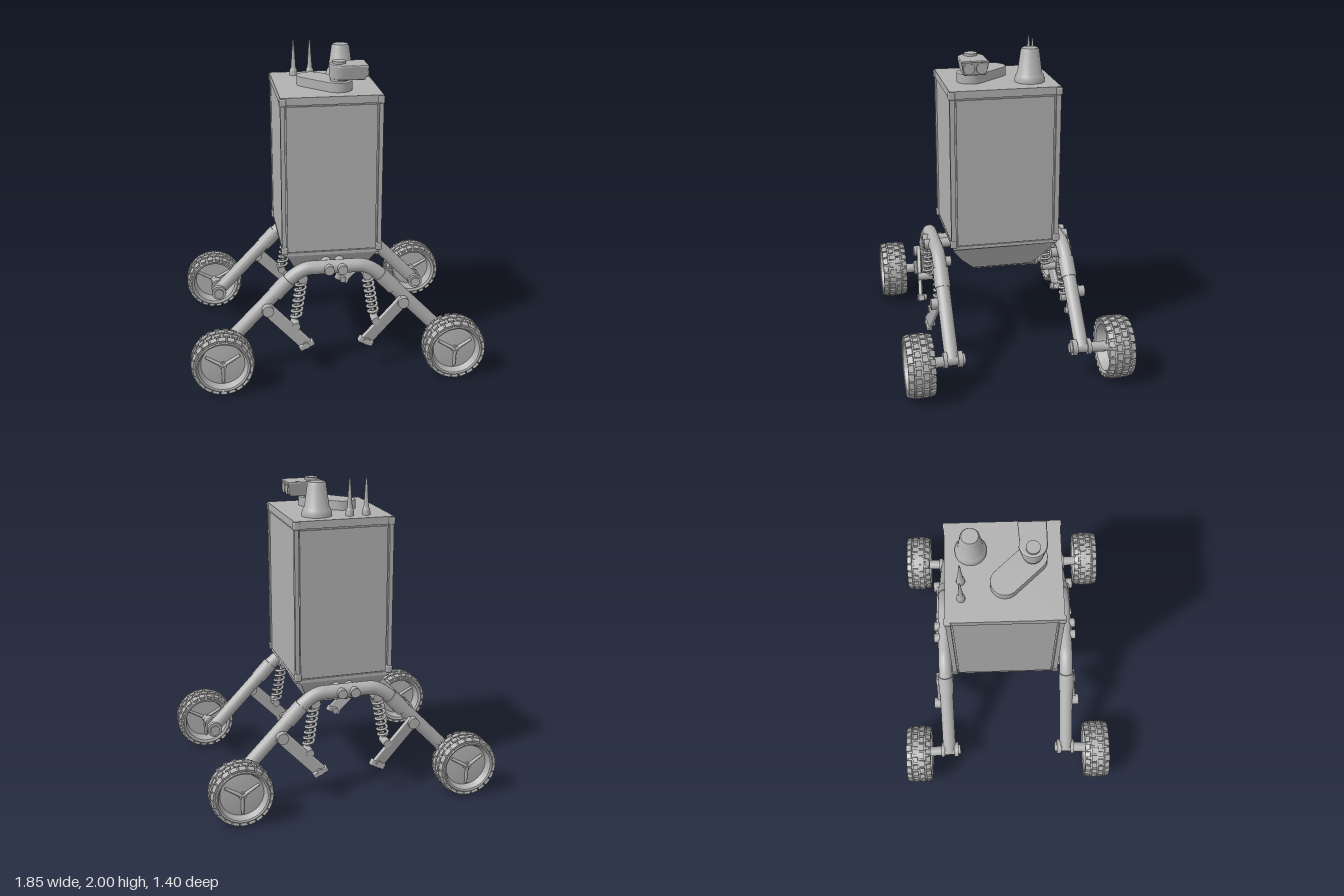
import * as THREE from 'three';
import { RoundedBoxGeometry } from 'three/addons/geometries/RoundedBoxGeometry.js';
import { mergeGeometries, toCreasedNormals } from 'three/addons/utils/BufferGeometryUtils.js';

const gray = new THREE.MeshStandardMaterial({ color: 0xb0b0b0 });
gray.name = 'plain gray';
const V = (x, y, z) => new THREE.Vector3(x, y, z);

function add(parent, name, geo, x = 0, y = 0, z = 0) {
  const m = new THREE.Mesh(geo, gray);
  m.name = name;
  m.position.set(x, y, z);
  parent.add(m);
  return m;
}

// Align a y-long part so that it spans from a to b
function span(parent, name, geo, a, b) {
  const m = add(parent, name, geo);
  m.position.copy(a).add(b).multiplyScalar(0.5);
  m.quaternion.setFromUnitVectors(V(0, 1, 0), b.clone().sub(a).normalize());
  return m;
}
const rod = (p, name, a, b, r, r2 = r, n = 20) =>
  span(p, name, new THREE.CylinderGeometry(r2, r, a.distanceTo(b), n), a, b);
const beam = (p, name, a, b, w, d) =>
  span(p, name, new RoundedBoxGeometry(w, a.distanceTo(b), d, 2, 0.008), a, b);
const lathe = (pts, n = 32) =>
  toCreasedNormals(new THREE.LatheGeometry(pts.map(p => new THREE.Vector2(...p)), n), 0.6);
const extrude = (shape, depth, bevel) => new THREE.ExtrudeGeometry(shape,
  { depth, bevelEnabled: true, bevelSize: bevel, bevelThickness: bevel, bevelSegments: 2, curveSegments: 16 });

// Wheel with its axis on z, outer face towards +z
function makeWheel() {
  const g = new THREE.Group();
  g.name = 'wheel';
  add(g, 'tyreAndDish', lathe([[0, -0.01], [0.13, -0.01], [0.146, -0.075], [0.162, -0.083], [0.178, -0.07],
    [0.184, -0.035], [0.186, 0], [0.184, 0.035], [0.178, 0.07], [0.162, 0.083], [0.152, 0.078],
    [0.145, 0.06], [0.135, 0.035], [0, 0.05]], 44)).rotation.x = Math.PI / 2;
  const blocks = [];
  const n = 22;
  [-0.064, -0.022, 0.022, 0.064].forEach((z, row) => {
    const edge = Math.abs(z) > 0.05;
    for (let i = 0; i < n; i++) {
      const b = new THREE.BoxGeometry(0.02, row % 2 ? 0.042 : 0.036, 0.034);
      if (edge) b.rotateY(-Math.sign(z) * 0.3);
      b.translate(edge ? 0.179 : 0.185, 0, z);
      b.rotateZ((i + (row % 2) * 0.5) / n * Math.PI * 2);
      blocks.push(b);
    }
  });
  add(g, 'treadBlocks', mergeGeometries(blocks));
  // Three raised spokes
  for (let i = 0; i < 3; i++) {
    const a = Math.PI / 6 + i * Math.PI * 2 / 3;
    const p = (r, z) => V(r * Math.cos(a), r * Math.sin(a), z);
    rod(g, 'spoke', p(0.005, 0.054), p(0.12, 0.045), 0.012, 0.009, 8);
    rod(g, 'innerSpoke', p(0.02, -0.015), p(0.13, -0.02), 0.012, 0.009, 8);
  }
  rod(g, 'hub', V(0, 0, -0.07), V(0, 0, 0.06), 0.024);
  return g;
}

// Half of one suspension end; s is the side (+1 or -1)
function addLeg(g, s) {
  const P = (x, y, z) => V(s * x, y, z);
  rod(g, 'legSleeve', P(0.29, 0.625, 0.41), P(0.38, 0.53, 0.41), 0.05);
  rod(g, 'axle', P(0.705, 0.2, 0.33), P(0.715, 0.195, 0.56), 0.033);
  rod(g, 'axleClamp', P(0.705, 0.2, 0.345), P(0.705, 0.2, 0.375), 0.05);
  rod(g, 'axleCollar', P(0.705, 0.2, 0.44), P(0.705, 0.2, 0.465), 0.05);
  // Swing arm, pivot and forked foot
  beam(g, 'swingArm', P(0.44, 0.46, 0.455), P(0.19, 0.2, 0.48), 0.085, 0.025);
  rod(g, 'armPivot', P(0.43, 0.45, 0.38), P(0.43, 0.45, 0.495), 0.036);
  beam(g, 'armFoot', P(0.235, 0.175, 0.48), P(0.145, 0.22, 0.48), 0.04, 0.04);
  rod(g, 'footBolt', P(0.195, 0.2, 0.44), P(0.195, 0.2, 0.505), 0.022);
  // Coil spring around its damper
  const top = P(0.205, 0.64, 0.405), low = P(0.255, 0.33, 0.42);
  const turns = 7, pts = [];
  for (let i = 0; i <= turns * 12; i++) {
    const t = i / (turns * 12), a = t * turns * Math.PI * 2;
    pts.push(top.clone().lerp(low, 0.12 + t * 0.8).add(V(0.032 * Math.cos(a), 0, 0.032 * Math.sin(a))));
  }
  add(g, 'coilSpring', new THREE.TubeGeometry(new THREE.CatmullRomCurve3(pts), 168, 0.009, 7));
  rod(g, 'damper', top, low, 0.012);
  rod(g, 'springTopMount', P(0.205, 0.635, 0.33), P(0.205, 0.635, 0.44), 0.032);
  rod(g, 'springFootMount', P(0.255, 0.33, 0.39), P(0.255, 0.33, 0.49), 0.026);
  const w = makeWheel();
  w.position.set(s * 0.728, 0.195, 0.615);
  g.add(w);
}

function makeSuspension() {
  const g = new THREE.Group();
  g.name = 'suspension';
  const path = new THREE.CurvePath();
  const line = (a, b) => path.add(new THREE.LineCurve3(a, b));
  const z = 0.41;
  line(V(-0.705, 0.195, z), V(-0.33, 0.585, z));
  path.add(new THREE.QuadraticBezierCurve3(V(-0.33, 0.585, z), V(-0.225, 0.697, z), V(-0.15, 0.697, z)));
  line(V(-0.15, 0.697, z), V(0.15, 0.697, z));
  path.add(new THREE.QuadraticBezierCurve3(V(0.15, 0.697, z), V(0.225, 0.697, z), V(0.33, 0.585, z)));
  line(V(0.33, 0.585, z), V(0.705, 0.195, z));
  add(g, 'bentRail', new THREE.TubeGeometry(path, 90, 0.044, 18));
  for (const s of [-1, 1]) {
    rod(g, 'railBolt', V(s * 0.042, 0.697, 0.28), V(s * 0.042, 0.697, 0.48), 0.031);
    addLeg(g, s);
  }
  return g;
}

// Tapered underside built from rectangular sections [y, halfX, halfZ]
function hullGeometry() {
  const rows = [[0.54, 0.14, 0.16], [0.57, 0.2, 0.19], [0.64, 0.235, 0.265], [0.72, 0.27, 0.325], [0.745, 0.29, 0.335]];
  const pos = [], idx = [];
  for (const [y, x, z] of rows) pos.push(-x, y, z, x, y, z, x, y, -z, -x, y, -z);
  for (let r = 0; r < rows.length - 1; r++) for (let i = 0; i < 4; i++) {
    const a = r * 4 + i, b = r * 4 + (i + 1) % 4;
    idx.push(a, b, b + 4, a, b + 4, a + 4);
  }
  const t = (rows.length - 1) * 4;
  idx.push(0, 2, 1, 0, 3, 2, t, t + 1, t + 2, t, t + 2, t + 3);
  const geo = new THREE.BufferGeometry();
  geo.setAttribute('position', new THREE.Float32BufferAttribute(pos, 3));
  geo.setIndex(idx);
  return toCreasedNormals(geo, 0.3);
}

function makeBody() {
  const g = new THREE.Group();
  g.name = 'body';
  const box = (name, w, h, d, x, y, z) => add(g, name, new THREE.BoxGeometry(w, h, d), x, y, z);
  box('core', 0.595, 0.98, 0.65, 0, 1.25, 0);
  box('roof', 0.63, 0.048, 0.69, 0, 1.747, 0);
  box('floor', 0.61, 0.022, 0.67, 0, 0.756, 0);
  for (const s of [-1, 1]) {
    box('endPanel', 0.56, 0.94, 0.016, 0, 1.242, s * 0.327);
    box('sidePanel', 0.016, 0.94, 0.61, s * 0.3, 1.242, 0);
    for (const t of [-1, 1]) {
      box('cornerPost', 0.026, 0.97, 0.03, s * 0.302, 1.25, t * 0.33);
      for (const y of [0.785, 1.742])
        add(g, 'cornerBracket', new RoundedBoxGeometry(0.042, 0.046, 0.042, 2, 0.008), s * 0.3, y, t * 0.332);
    }
  }
  add(g, 'hull', hullGeometry());
  box('bellyPlate', 0.34, 0.02, 0.36, 0, 0.56, 0);
  g.position.set(-0.006, 0, -0.007);
  return g;
}

function makeRoofGear() {
  const g = new THREE.Group();
  g.name = 'roofGear';
  // Slanted rounded base under the camera
  const a = [-0.095, 0], b = [0.055, -0.165], r = 0.083;
  const base = new THREE.Shape();
  const ang = Math.atan2(b[1] - a[1], b[0] - a[0]);
  base.absarc(b[0], b[1], r, ang - Math.PI / 2, ang + Math.PI / 2);
  base.absarc(a[0], a[1], r, ang + Math.PI / 2, ang + Math.PI * 1.5);
  add(g, 'cameraBase', extrude(base, 0.056, 0.004), 0, 1.769, 0).rotation.x = -Math.PI / 2;
  // Camera head: rounded at the back, flat face towards +x
  rod(g, 'cameraNeck', V(0.06, 1.82, 0.165), V(0.06, 1.86, 0.165), 0.055);
  const head = new THREE.Shape();
  head.moveTo(0.222, -0.075);
  head.lineTo(0.222, 0.075);
  head.lineTo(0.075, 0.075);
  head.absarc(0.085, 0, 0.075, Math.PI / 2, Math.PI * 1.5);
  const geo = extrude(head, 0.075, 0.01);
  const p = geo.attributes.position;
  for (let i = 0; i < p.count; i++) if (p.getZ(i) < 0.03) {
    p.setY(i, p.getY(i) * 0.82);
    if (p.getX(i) > 0.2) p.setX(i, p.getX(i) - 0.018);
  }
  geo.computeVertexNormals();
  add(g, 'cameraHead', geo, 0, 1.85, 0.165).rotation.x = -Math.PI / 2;
  rod(g, 'headCap', V(0.06, 1.93, 0.165), V(0.06, 1.95, 0.165), 0.042);
  for (const s of [-1, 1]) rod(g, 'lens', V(0.19, 1.885, 0.165 + s * 0.04), V(0.233, 1.885, 0.165 + s * 0.04), 0.034);
  // Tapered beacon
  add(g, 'beacon', lathe([[0, 0], [0.094, 0], [0.094, 0.02], [0.085, 0.045], [0.077, 0.055], [0.058, 0.195],
    [0.05, 0.21], [0, 0.212]]), 0.125, 1.77, -0.195);
  // Whip antennas
  for (const x of [-0.172, -0.066])
    add(g, 'whipAntenna', lathe([[0, 0], [0.026, 0], [0.024, 0.035], [0.016, 0.05], [0.012, 0.12], [0.005, 0.225], [0, 0.23]], 14),
      x, 1.77, -0.257);
  return g;
}

export function createModel() {
  const model = new THREE.Group();
  model.name = 'rover';
  model.add(makeBody(), makeRoofGear());
  const front = makeSuspension();
  const back = makeSuspension();
  front.name = 'frontSuspension';
  back.name = 'backSuspension';
  back.rotation.y = Math.PI;
  model.add(front, back);
  return model;
}
